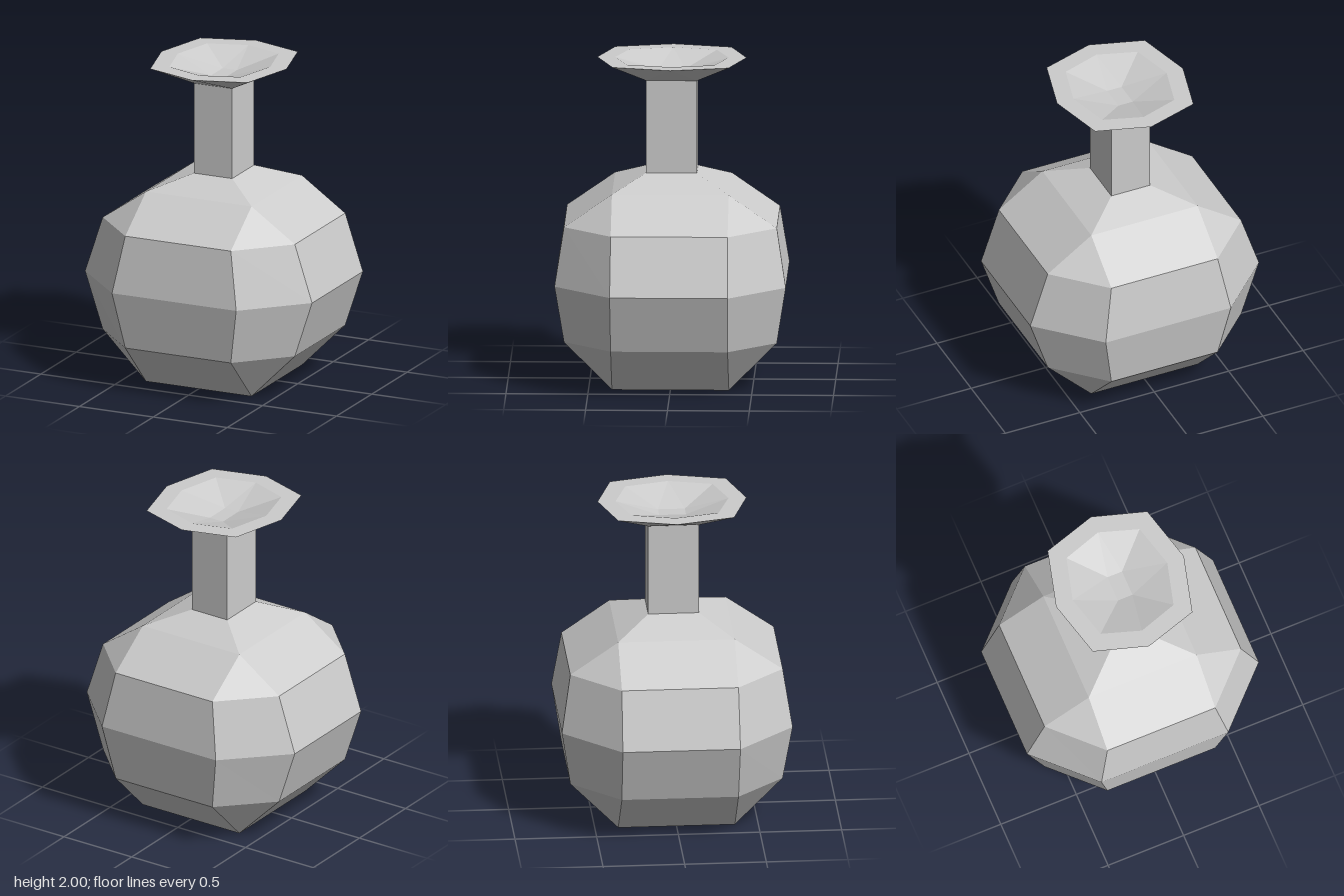
import * as THREE from 'three';

// Eight-point ring with straight front, side and corner runs (a square when xo = xi)
function cutRing(y, xo, zo, xi = xo, zi = zo) {
  return [[xo, -zi], [xo, zi], [xi, zo], [-xi, zo], [-xo, zi], [-xo, -zi], [-xi, -zo], [xi, -zo]]
    .map(([x, z]) => new THREE.Vector3(x, y, z));
}

// Eight-point ring with points on the axes and on the four diagonals
function starRing(y, x, z, cx = x, cz = z) {
  return [[x, 0], [cx, cz], [0, z], [-cx, cz], [-x, 0], [-cx, -cz], [0, -z], [cx, -cz]]
    .map(([px, pz]) => new THREE.Vector3(px, y, pz));
}

// Skin successive rings; flips[k] picks the parity of quads split the other way
function loft(rings, { flips = [], capStart = false, capEnd = false } = {}) {
  const pos = [];
  const tri = (a, b, c) => {
    const area = b.clone().sub(a).cross(c.clone().sub(a)).length();
    if (area > 1e-6) for (const p of [a, b, c]) pos.push(p.x, p.y, p.z);
  };
  for (let k = 0; k < rings.length - 1; k++) {
    const a = rings[k], b = rings[k + 1];
    for (let i = 0; i < 8; i++) {
      const j = (i + 1) % 8;
      if (flips[k] === i % 2) {
        tri(a[i], b[i], a[j]);
        tri(b[i], b[j], a[j]);
      } else {
        tri(a[i], b[i], b[j]);
        tri(a[i], b[j], a[j]);
      }
    }
  }
  const first = rings[0], last = rings[rings.length - 1];
  for (let i = 1; i < 7; i++) {
    if (capStart) tri(first[0], first[i], first[i + 1]);
    if (capEnd) tri(last[0], last[i + 1], last[i]);
  }
  const geo = new THREE.BufferGeometry();
  geo.setAttribute('position', new THREE.Float32BufferAttribute(pos, 3));
  geo.computeVertexNormals();
  return geo;
}

export function createModel() {
  const group = new THREE.Group();
  group.name = 'vase';
  const clay = new THREE.MeshStandardMaterial({ color: 0xcccccc, flatShading: true });
  clay.name = 'pale grey';

  const add = (name, geo) => {
    const mesh = new THREE.Mesh(geo, clay);
    mesh.name = name;
    group.add(mesh);
  };

  // Faceted round body on a square base
  add('body', loft([
    cutRing(0, 0.357, 0.357),
    cutRing(0.295, 0.65, 0.65, 0.357, 0.357),
    cutRing(0.652, 0.768, 0.706, 0.42, 0.36),
    cutRing(1.01, 0.65, 0.65, 0.357, 0.357),
    cutRing(1.213, 0.357, 0.357),
    cutRing(1.305, 0.13, 0.156),
  ], { capStart: true }));

  // Square neck
  add('neck', loft([cutRing(1.305, 0.13, 0.156), cutRing(1.88, 0.13, 0.156)]));

  // Flared lip with a flat rim and a shallow funnel inside
  add('lip', loft([
    starRing(1.88, 0.13, 0.156),
    starRing(2, 0.423, 0.456, 0.33, 0.355),
    starRing(2, 0.313, 0.346, 0.242, 0.267),
    starRing(1.92, 0.048, 0.082),
  ], { flips: [0, -1, 1], capEnd: true }));

  return group;
}
